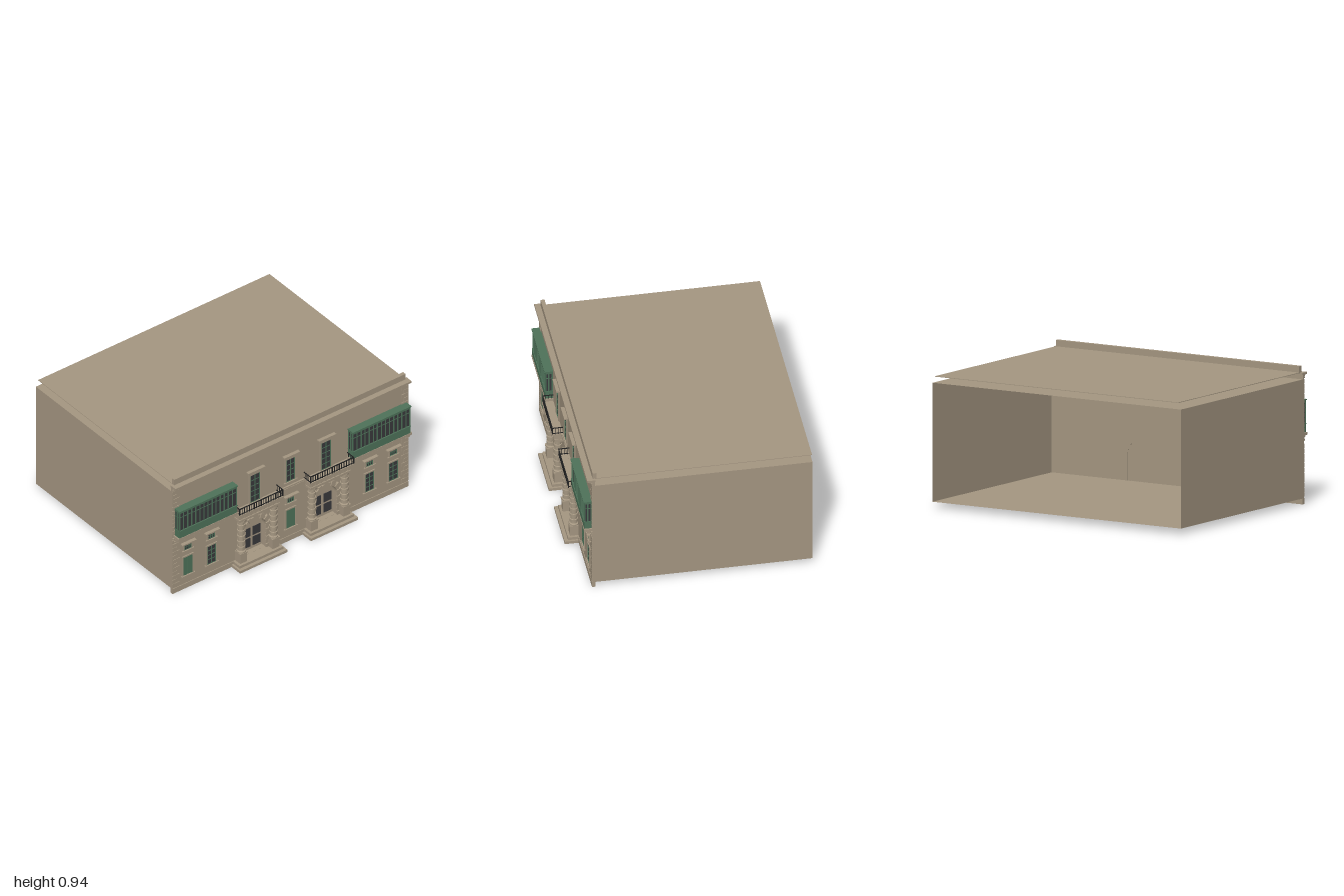
import * as THREE from 'three';

const mat = (name, color) => {
  const m = new THREE.MeshStandardMaterial({ color, side: THREE.DoubleSide });
  m.name = name;
  return m;
};

export function createModel() {
  const stone = mat('limestone', 0xa49681);
  const green = mat('green paint', 0x4e7259);
  const glass = mat('dark glass', 0x38383b);
  const iron = mat('black iron', 0x222222);
  const model = new THREE.Group();
  model.name = 'townHouse';

  const group = (name, x = 0) => {
    const g = new THREE.Group();
    g.name = name;
    g.position.x = x;
    model.add(g);
    return g;
  };
  const add = (parent, name, geometry, material) => {
    const m = new THREE.Mesh(geometry, material);
    m.name = name;
    parent.add(m);
    return m;
  };
  // Box given by its limits on each axis
  const box = (parent, name, material, x0, x1, y0, y1, z0, z1) => {
    const m = add(parent, name, new THREE.BoxGeometry(x1 - x0, y1 - y0, z1 - z0), material);
    m.position.set((x0 + x1) / 2, (y0 + y1) / 2, (z0 + z1) / 2);
    return m;
  };
  const F = 0.7; // facade plane
  const DOOR_X = 0.3, ARCH_Y = 0.225, ARCH_R = 0.088;

  // Shell: floor, ceiling and side walls, open at the back
  const shell = group('shell');
  for (const [name, y] of [['floor', 0.04], ['ceiling', 0.85]]) {
    const m = add(shell, name, new THREE.PlaneGeometry(2, 1.5), stone);
    m.rotation.x = -Math.PI / 2;
    m.position.set(0, y, -0.05);
  }
  for (const s of [-1, 1]) {
    const m = add(shell, 'sideWall', new THREE.PlaneGeometry(1.5, 0.81), stone);
    m.rotation.y = s * Math.PI / 2;
    m.position.set(s, 0.445, -0.05);
  }
  box(shell, 'roofSheet', stone, -0.98, 0.98, 0.893, 0.897, -0.8, 0.69);

  // Front wall with two arched doorways
  const wall = new THREE.Shape([[-1, 0.04], [1, 0.04], [1, 0.85], [-1, 0.85]].map(p => new THREE.Vector2(...p)));
  for (const x of [-DOOR_X, DOOR_X]) {
    const hole = new THREE.Path();
    hole.moveTo(x - ARCH_R, 0.041);
    hole.lineTo(x + ARCH_R, 0.041);
    hole.lineTo(x + ARCH_R, ARCH_Y);
    hole.absarc(x, ARCH_Y, ARCH_R, 0, Math.PI, false);
    hole.closePath();
    wall.holes.push(hole);
  }
  const wallGeo = new THREE.ExtrudeGeometry(wall, { depth: 0.05, bevelEnabled: false, curveSegments: 16 });
  add(shell, 'frontWall', wallGeo, stone).position.z = F - 0.05;
  box(shell, 'wallHead', stone, -1, 1, 0.85, 0.89, 0.685, F);
  box(shell, 'basePlinth', stone, -1, 1, 0, 0.04, 0.68, 0.705);

  // Cornice, dentils and parapet
  const cornice = group('cornice');
  box(cornice, 'lowerMoulding', stone, -1, 1, 0.857, 0.867, 0.69, 0.71);
  box(cornice, 'upperMoulding', stone, -1, 1, 0.88, 0.895, 0.68, 0.737);
  for (let i = 0; i < 46; i++) {
    const x = -0.98 + i * 1.96 / 45;
    box(cornice, 'dentil', stone, x - 0.012, x + 0.012, 0.867, 0.88, F, 0.722);
  }
  box(cornice, 'parapet', stone, -0.98, 0.98, 0.89, 0.94, 0.67, 0.697);

  // String course between the floors
  const course = group('stringCourse');
  box(course, 'lowerBand', stone, -1, 1, 0.43, 0.445, F, 0.708);
  box(course, 'upperBand', stone, -1, 1, 0.452, 0.462, F, 0.712);

  // Corner quoins, alternately long and short
  const quoins = group('quoins');
  for (const s of [-1, 1]) for (const [y0, n] of [[0.05, 11], [0.49, 11]]) for (let i = 0; i < n; i++) {
    const a = s, b = s * (i % 2 ? 0.962 : 0.94), y = y0 + i * 0.033;
    box(quoins, 'quoin', stone, Math.min(a, b), Math.max(a, b), y, y + 0.03, F, 0.705);
  }

  // Window: surround, glazing or shutters, sill and optional hood
  const window_ = (name, x, w, y0, y1, { shutter = false, rows = 4, cols = 2, hood = 0, sill = true } = {}) => {
    const g = group(name, x), h = w / 2, t = 0.01;
    for (const s of [-1, 1]) {
      const a = s * h, b = s * (h + t);
      box(g, 'jamb', stone, Math.min(a, b), Math.max(a, b), y0, y1, F, 0.708);
    }
    box(g, 'lintel', stone, -h - t, h + t, y1, y1 + t, F, 0.708);
    if (sill) box(g, 'sill', stone, -h - 0.018, h + 0.018, y0 - 0.01, y0, F, 0.714);
    if (hood) {
      box(g, 'frieze', stone, -h - 0.015, h + 0.015, y1 + t, y1 + hood - 0.018, F, 0.71);
      box(g, 'hoodLower', stone, -h - 0.02, h + 0.02, y1 + hood - 0.018, y1 + hood - 0.009, F, 0.718);
      box(g, 'hoodUpper', stone, -h - 0.03, h + 0.03, y1 + hood - 0.009, y1 + hood, F, 0.726);
    }
    if (shutter) {
      for (const s of [-1, 1]) box(g, 'shutter', green, s > 0 ? 0.001 : -h, s > 0 ? h : -0.001, y0, y1, F, 0.704);
      return;
    }
    box(g, 'glass', glass, -h, h, y0, y1, F, 0.702);
    for (let i = 0; i <= cols; i++) {
      const bx = -h + 0.003 + i * (w - 0.006) / cols;
      box(g, 'verticalBar', green, bx - 0.003, bx + 0.003, y0, y1, F, 0.705);
    }
    for (let i = 0; i <= rows; i++) {
      const by = y0 + 0.002 + i * (y1 - y0 - 0.004) / rows;
      box(g, 'horizontalBar', green, -h, h, by - 0.002, by + 0.002, F, 0.7045);
    }
  };
  for (const x of [-0.87, -0.67, 0, 0.67, 0.87]) {
    window_('groundWindow', x, 0.076, 0.11, 0.26, { shutter: x === -0.87 || x === 0 });
    window_('mezzanineWindow', x, 0.06, 0.318, 0.366, { rows: 2, cols: 3, hood: 0.018 });
  }
  window_('middleUpperWindow', 0, 0.074, 0.497, 0.68, { hood: 0.042 });
  for (const x of [-DOOR_X, DOOR_X]) window_('balconyWindow', x, 0.084, 0.462, 0.688, { rows: 5, hood: 0.043, sill: false });

  // Enclosed timber balconies on corbels
  for (const s of [-1, 1]) {
    const g = group('timberBalcony', s * 0.735), h = 0.245;
    box(g, 'floorSlab', stone, -h - 0.01, h + 0.01, 0.464, 0.482, F, 0.757);
    box(g, 'corbelRail', stone, -h - 0.01, h + 0.01, 0.43, 0.438, F, 0.715);
    for (let i = 0; i < 12; i++) {
      const x = -h + 0.012 + i * (2 * h - 0.024) / 11;
      box(g, 'corbel', stone, x - 0.01, x + 0.01, 0.45, 0.464, F, 0.75);
      box(g, 'corbelFoot', stone, x - 0.01, x + 0.01, 0.436, 0.45, F, 0.73);
    }
    box(g, 'lowerPanel', green, -h, h, 0.482, 0.54, F, 0.754);
    box(g, 'glazing', glass, -h + 0.002, h - 0.002, 0.54, 0.685, F, 0.748);
    box(g, 'header', green, -h, h, 0.685, 0.698, F, 0.754);
    box(g, 'roofBoard', green, -h - 0.003, h + 0.003, 0.698, 0.706, F, 0.759);
    box(g, 'sillRail', green, -h - 0.002, h + 0.002, 0.536, 0.542, F, 0.757);
    box(g, 'transom', green, -h, h, 0.646, 0.651, F, 0.75);
    for (let i = 0; i <= 14; i++) {
      const x = -h + 0.004 + i * (2 * h - 0.008) / 14, w = i % 2 ? 0.0025 : 0.004;
      box(g, 'mullion', green, x - w, x + w, 0.54, 0.69, 0.745, 0.753);
    }
    for (const e of [-1, 1]) for (const z of [0.706, 0.729]) {
      box(g, 'endMullion', green, e * (h - 0.003) - 0.003, e * (h - 0.003) + 0.003, 0.54, 0.69, z - 0.005, z + 0.005);
    }
  }

  // Banded column profile
  const profile = [[0, 0.12], [0.033, 0.12], [0.033, 0.13], [0.024, 0.135]];
  for (let i = 0; i < 5; i++) {
    const y = 0.145 + i * 0.045;
    profile.push([0.023, y], [0.029, y + 0.002], [0.029, y + 0.023], [0.023, y + 0.025]);
  }
  profile.push([0.023, 0.365], [0.032, 0.372], [0.032, 0.385], [0, 0.385]);
  const columnGeo = new THREE.LatheGeometry(profile.map(p => new THREE.Vector2(...p)), 16).toNonIndexed();
  columnGeo.computeVertexNormals();

  // Portals: steps, doors, arch, columns, entablature and iron balcony
  for (const x of [-DOOR_X, DOOR_X]) {
    const g = group('portal', x);
    box(g, 'lowerStep', stone, -0.2, 0.2, 0, 0.02, F, 0.8);
    box(g, 'upperStep', stone, -0.185, 0.185, 0.02, 0.04, F, 0.775);
    box(g, 'doorLeaf', stone, -0.092, 0.092, 0.04, 0.32, 0.652, 0.662);
    for (const s of [-1, 1]) for (const y of [0.065, 0.15]) {
      box(g, 'doorPanel', glass, s * 0.043 - 0.032, s * 0.043 + 0.032, y, y + 0.07, 0.662, 0.666);
    }
    for (let i = 0; i < 13; i++) {
      const a = i * Math.PI / 13, b = a + Math.PI / 13 - 0.02, r = i % 2 ? 0.112 : 0.128;
      const block = new THREE.Shape();
      block.absarc(0, ARCH_Y, r, a, b, false);
      block.absarc(0, ARCH_Y, ARCH_R, b, a, true);
      const geo = new THREE.ExtrudeGeometry(block, { depth: i % 2 ? 0.01 : 0.016, bevelEnabled: false, curveSegments: 3 });
      add(g, 'archBlock', geo, stone).position.z = F;
    }
    for (const s of [-1, 1]) {
      for (let i = 0; i < 6; i++) {
        const a = s * ARCH_R, b = s * (i % 2 ? 0.105 : 0.122), y = 0.04 + i * 0.031;
        box(g, 'jambBlock', stone, Math.min(a, b), Math.max(a, b), y, y + 0.028, F, i % 2 ? 0.71 : 0.714);
      }
      const c = s * 0.137;
      box(g, 'pedestal', stone, c - 0.029, c + 0.029, 0.04, 0.112, F, 0.757);
      box(g, 'pedestalCap', stone, c - 0.033, c + 0.033, 0.112, 0.121, F, 0.761);
      add(g, 'column', columnGeo, stone).position.set(c, 0, 0.727);
    }
    box(g, 'architrave', stone, -0.172, 0.172, 0.385, 0.402, F, 0.757);
    box(g, 'frieze', stone, -0.168, 0.168, 0.402, 0.436, F, 0.748);
    for (let i = 0; i < 9; i++) {
      const c = -0.155 + i * 0.03875;
      box(g, 'bracket', stone, c - 0.009, c + 0.009, 0.407, 0.436, 0.748, 0.757);
    }
    box(g, 'balconyBed', stone, -0.178, 0.178, 0.436, 0.447, F, 0.764);
    box(g, 'balconySlab', stone, -0.188, 0.188, 0.447, 0.461, F, 0.778);
    for (const [y, t] of [[0.466, 0.004], [0.509, 0.006]]) {
      box(g, 'frontRail', iron, -0.185, 0.185, y, y + t, 0.77, 0.775);
      for (const s of [-1, 1]) box(g, 'sideRail', iron, s * 0.183 - 0.002, s * 0.183 + 0.002, y, y + t, F, 0.772);
    }
    for (let i = 0; i <= 18; i++) {
      const c = -0.182 + i * 0.364 / 18, w = i % 3 ? 0.0022 : 0.004;
      box(g, 'baluster', iron, c - w, c + w, 0.461, 0.512, 0.7705, 0.7745);
    }
    for (const s of [-1, 1]) for (const z of [0.715, 0.734, 0.753]) {
      box(g, 'sideBaluster', iron, s * 0.183 - 0.0015, s * 0.183 + 0.0015, 0.461, 0.512, z - 0.0015, z + 0.0015);
    }
  }
  return model;
}
